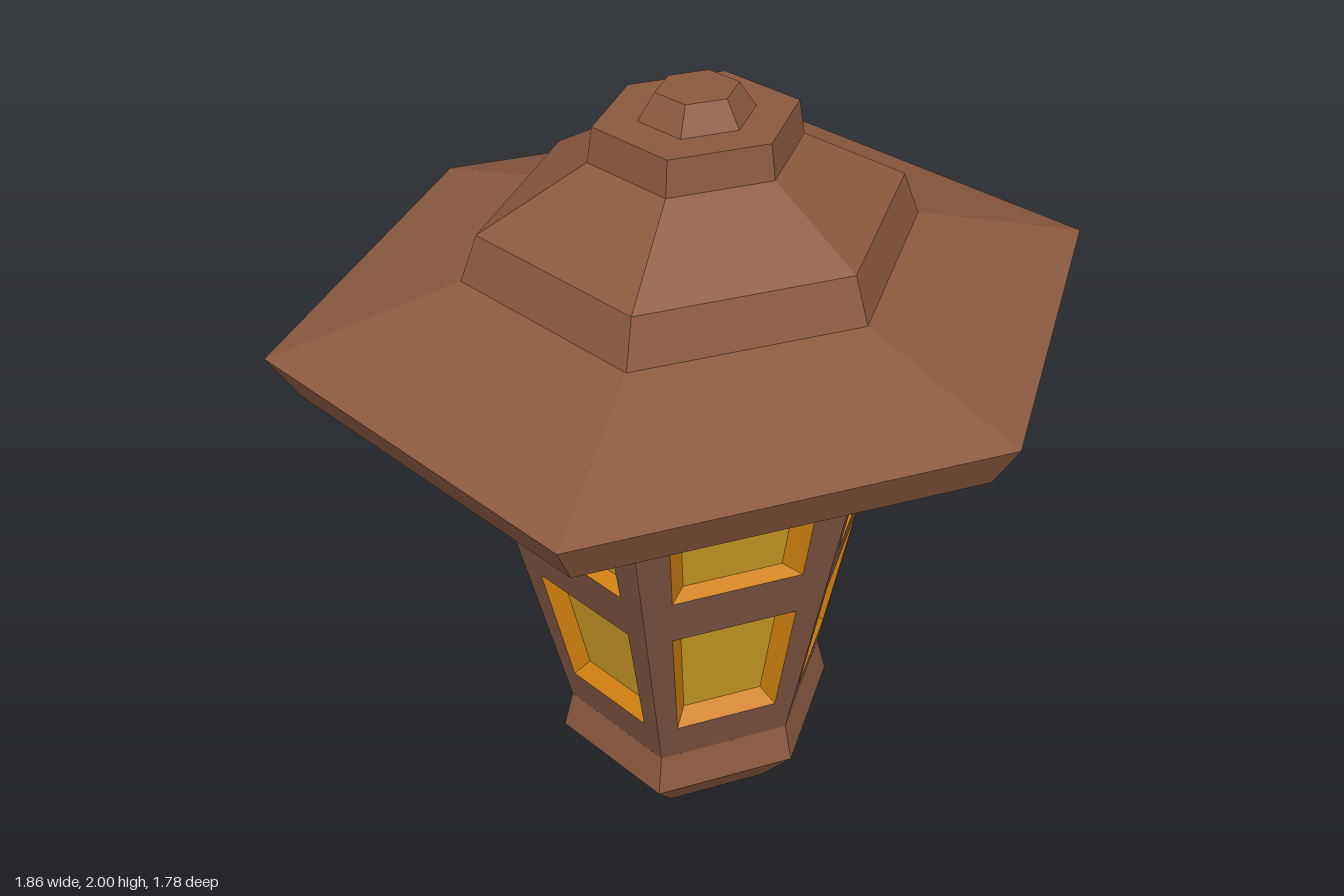
import * as THREE from 'three';

const material = (color) => new THREE.MeshStandardMaterial({ color, flatShading: true });
const roofBrown = material(0x8b5a40);
const bodyBrown = material(0x7c5340);
const frameOrange = material(0xd0800f);
const paneYellow = material(0xcc9c26);

// Slightly stretched hexagon with corners on the x axis, for radius 1
const CORNERS = [[1, 0], [0.525, -0.955], [-0.525, -0.955], [-1, 0], [-0.525, 0.955], [0.525, 0.955]];

// Six-sided solid from a [radius, y] profile listed bottom to top
function hexSolid(name, profile, mat) {
  const pts = profile.map(([r, y]) => new THREE.Vector2(r, y));
  const lathe = new THREE.LatheGeometry(pts, 6, Math.PI / 2);
  const p = lathe.attributes.position;
  for (let i = 0; i < p.count; i++) {
    const z = p.getZ(i);
    if (Math.abs(z) > 1e-4) p.setXYZ(i, p.getX(i) * 1.05, p.getY(i), z * 1.103);
  }
  const geo = lathe.toNonIndexed();
  geo.computeVertexNormals();
  const mesh = new THREE.Mesh(geo, mat);
  mesh.name = name;
  return mesh;
}

// Mesh from quads, each given counter-clockwise as seen from outside
function quadMesh(name, quads, mat) {
  const geo = new THREE.BufferGeometry().setFromPoints(
    quads.flatMap(([a, b, c, d]) => [a, b, c, a, c, d]));
  geo.computeVertexNormals();
  const mesh = new THREE.Mesh(geo, mat);
  mesh.name = name;
  return mesh;
}

// Tapering wall
const WALL_BOTTOM = 0.25, WALL_TOP = 1.37;
const wallRadius = (y) => THREE.MathUtils.mapLinear(y, WALL_BOTTOM, WALL_TOP, 0.333, 0.55);

// Point on wall k: u runs -1..1 across the face, depth goes inward
function wallPoint(k, u, y, depth = 0) {
  const [ax, az] = CORNERS[k], [bx, bz] = CORNERS[(k + 1) % 6];
  const r = wallRadius(y), t = (u + 1) / 2;
  const n = new THREE.Vector2(az - bz, bx - ax).normalize();
  return new THREE.Vector3(
    (ax + (bx - ax) * t) * r - n.x * depth, y,
    (az + (bz - az) * t) * r - n.y * depth);
}

// Opening and recessed pane: heights and half widths at bottom and top
const WINDOWS = [
  { y: [0.37, 0.748], u: [0.72, 0.71], paneY: [0.413, 0.722], paneU: [0.55, 0.56] },
  { y: [0.888, 1.255], u: [0.69, 0.675], paneY: [0.905, 1.212], paneU: [0.52, 0.53] },
];
const DEPTH = 0.04;

function lanternWall(k) {
  const wall = new THREE.Group();
  wall.name = 'lanternWall';
  const rect = (y, u, depth) => [
    wallPoint(k, -u[0], y[0], depth), wallPoint(k, u[0], y[0], depth),
    wallPoint(k, u[1], y[1], depth), wallPoint(k, -u[1], y[1], depth)];
  const panel = [], frames = [], panes = [];
  let y = WALL_BOTTOM;
  for (const w of WINDOWS) {
    const open = rect(w.y, w.u, 0), pane = rect(w.paneY, w.paneU, DEPTH);
    const edge = rect(w.y, [1, 1], 0);
    panel.push(rect([y, w.y[0]], [1, 1], 0));           // rail below the window
    panel.push([edge[0], open[0], open[3], edge[3]]);   // side posts
    panel.push([open[1], edge[1], edge[2], open[2]]);
    for (let i = 0; i < 4; i++) {
      const j = (i + 1) % 4;
      frames.push([open[i], open[j], pane[j], pane[i]]);
    }
    panes.push(pane);
    y = w.y[1];
  }
  panel.push(rect([y, WALL_TOP], [1, 1], 0));
  wall.add(
    quadMesh('wallPanel', panel, bodyBrown),
    quadMesh('windowFrames', frames, frameOrange),
    quadMesh('windowPanes', panes, paneYellow));
  return wall;
}

export function createModel() {
  const lantern = new THREE.Group();
  lantern.name = 'lantern';

  // Foot
  lantern.add(hexSolid('base', [[0, 0], [0.255, 0], [0.358, 0.14], [0.333, 0.25]], roofBrown));

  // Six walls with two windows each
  for (let k = 0; k < 6; k++) lantern.add(lanternWall(k));

  // Stepped roof
  lantern.add(hexSolid('eaves', [[0, 1.37], [0.87, 1.37], [0.93, 1.483], [0.513, 1.605]], roofBrown));
  lantern.add(hexSolid('upperRoof', [[0.513, 1.605], [0.473, 1.715], [0.235, 1.855]], roofBrown));
  lantern.add(hexSolid('collar', [[0.235, 1.855], [0.222, 1.938], [0.127, 1.938]], roofBrown));
  lantern.add(hexSolid('knob', [[0.127, 1.938], [0.09, 2], [0, 2]], roofBrown));

  return lantern;
}
